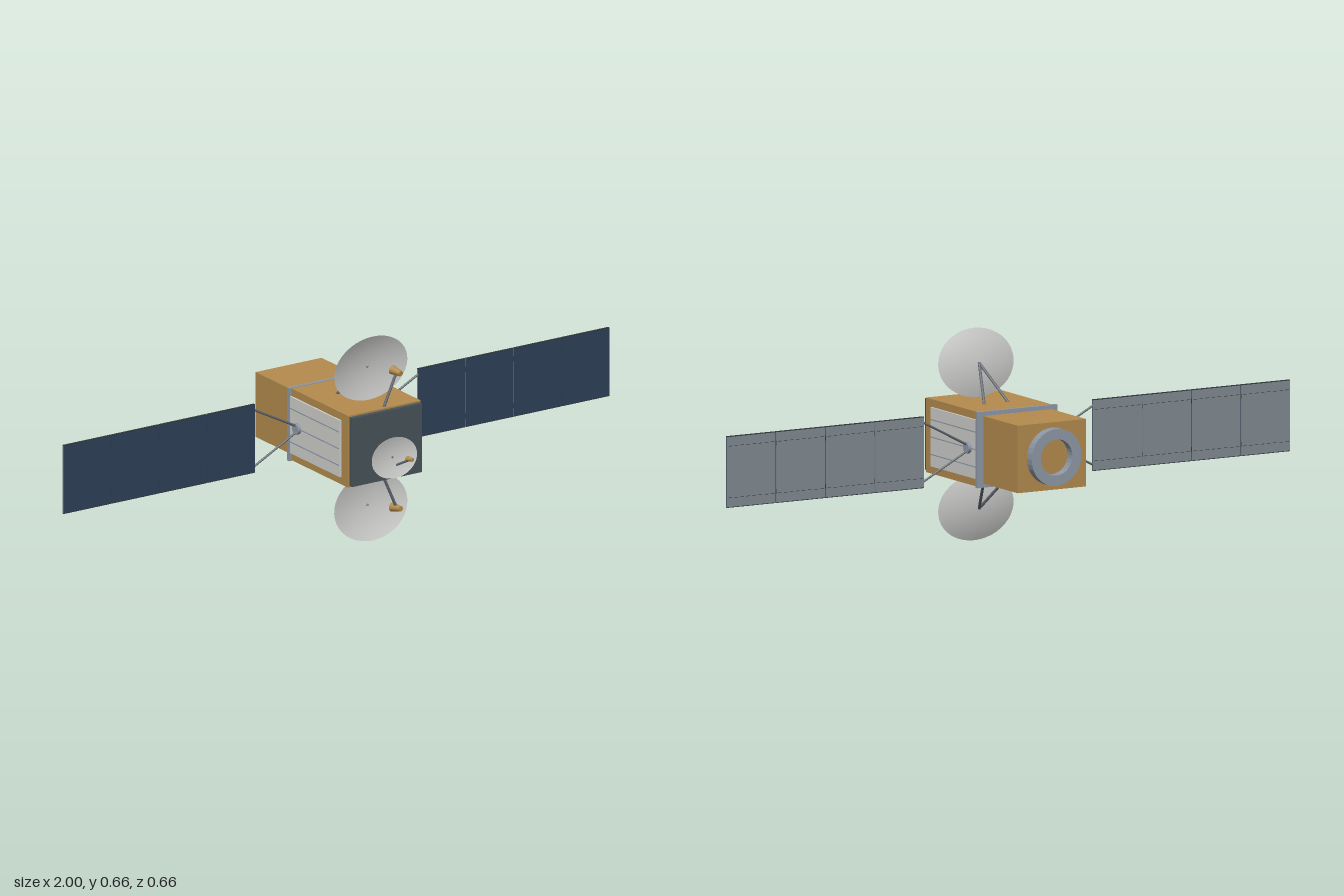
import * as THREE from 'three';

const mat = (name, color, side = THREE.FrontSide) => {
  const m = new THREE.MeshStandardMaterial({ color, side });
  m.name = name;
  return m;
};

export function createModel() {
  const root = new THREE.Group();
  root.name = 'satellite';

  const gold = mat('gold foil', 0xb48b4e);
  const slate = mat('slate', 0x46535a);
  const white = mat('radiator white', 0xcfcfcc);
  const dishGrey = mat('dish grey', 0xcccccb, THREE.DoubleSide);
  const metal = mat('metal', 0x8e98a6);
  const strutGrey = mat('strut grey', 0x626970);
  const navy = mat('solar navy', 0x2e4058);
  const backGrey = mat('panel back grey', 0x808a92);
  const dark = mat('dark trim', 0x30383e);

  const MID = 0.3315; // height of the body axis
  const add = (name, geo, material, x = 0, y = 0, z = 0, parent = root) => {
    const m = new THREE.Mesh(geo, material);
    m.name = name;
    m.position.set(x, y, z);
    parent.add(m);
    return m;
  };
  const box = (name, w, h, d, material, x, y, z, parent) =>
    add(name, new THREE.BoxGeometry(w, h, d), material, x, y, z, parent);

  // Round bar or cone between two points
  const rod = (name, a, b, r0, r1, material, parent = root, sides = 10) => {
    const A = new THREE.Vector3(...a), B = new THREE.Vector3(...b);
    const dir = B.clone().sub(A);
    const m = add(name, new THREE.CylinderGeometry(r1, r0, dir.length(), sides), material, 0, 0, 0, parent);
    m.position.copy(A).add(B).multiplyScalar(0.5);
    m.quaternion.setFromUnitVectors(new THREE.Vector3(0, 1, 0), dir.normalize());
    return m;
  };

  // Shallow elliptical reflector opening towards +z, with its vertex at the given point
  const reflector = (name, halfW, halfH, depth, tilt, y, z, parent) => {
    const profile = [];
    for (let i = 0; i <= 8; i++) profile.push(new THREE.Vector2(i / 8, depth * (i / 8) ** 2));
    const geo = new THREE.LatheGeometry(profile, 40);
    geo.scale(halfW, 1, halfH);
    geo.rotateX(Math.PI / 2 + tilt);
    geo.computeVertexNormals();
    return add(name, geo, dishGrey, 0, y, z, parent);
  };

  // Body
  box('mainBody', 0.266, 0.231, 0.32, gold, 0, MID, 0.065);
  box('rearBody', 0.242, 0.209, 0.21, gold, 0, MID, -0.197);
  box('collar', 0.284, 0.235, 0.012, metal, 0, MID, -0.091);
  box('frontPlate', 0.256, 0.221, 0.015, slate, 0, MID, 0.2325);

  // Engine ring on the back
  const ringProfile = [[0.056, 0], [0.0885, 0], [0.0885, 0.029], [0.056, 0.029], [0.056, 0]]
    .map(([r, h]) => new THREE.Vector2(r, h));
  const ring = new THREE.LatheGeometry(ringProfile, 32).toNonIndexed();
  ring.computeVertexNormals();
  ring.rotateX(-Math.PI / 2);
  add('adapterRing', ring, metal, 0, MID, -0.302);

  for (const s of [1, -1]) {
    const side = s > 0 ? 'left' : 'right';

    // Side radiator with three pipes
    box(side + 'Radiator', 0.006, 0.183, 0.275, white, s * 0.136, MID, 0.0505);
    for (const dy of [-0.054, 0, 0.054])
      box(side + 'RadiatorPipe', 0.003, 0.003, 0.269, metal, s * 0.1395, MID + dy, 0.0505);

    // Solar wing: hub, yoke and four panels
    const wing = new THREE.Group();
    wing.name = side + 'SolarWing';
    wing.position.set(0, MID, -0.041);
    root.add(wing);
    rod('hub', [s * 0.133, 0, 0], [s * 0.15, 0, 0], 0.0175, 0.0175, metal, wing);
    for (const v of [1, -1])
      rod('yokeStrut', [s * 0.146, v * 0.01, 0], [s * 0.302, v * 0.092, 0], 0.0035, 0.0035, strutGrey, wing, 8);
    for (let i = 0; i < 4; i++) {
      const x = s * (0.3865 + i * 0.1757);
      box('panelBack', 0.173, 0.22, 0.004, backGrey, x, 0, -0.0015, wing);
      box('panelCells', 0.173, 0.22, 0.003, navy, x, 0, 0.002, wing);
      for (const v of [1, -1]) {
        for (let k = 0; k < 8; k++) // dashed wiring on the back
          box('wiringDash', 0.012, 0.0015, 0.001, dark, x + (k - 3.5) * 0.0215, v * 0.08, -0.0037, wing);
        box('panelEdge', 0.173, 0.002, 0.0075, dark, x, v * 0.1095, 0, wing);
        if (i < 3) box('hinge', 0.004, 0.016, 0.005, dark, x + s * 0.0878, v * 0.075, 0, wing);
      }
    }

    // Large reflectors above and below, with struts and feed horn
    const antenna = new THREE.Group();
    antenna.name = s > 0 ? 'upperAntenna' : 'lowerAntenna';
    antenna.position.y = MID;
    root.add(antenna);
    reflector('reflector', 0.134, 0.106, 0.0185, s * 0.109, s * 0.2255, 0.132, antenna);
    for (const v of [1, -1])
      rod('reflectorStrut', [v * 0.043, s * 0.113, 0.028], [0, s * 0.2255, 0.131], 0.0045, 0.0045, strutGrey, antenna);
    rod('feedPost', [0.005, s * 0.11, 0.212], [0.053, s * 0.218, 0.212], 0.0045, 0.0045, strutGrey, antenna);
    rod('feedHorn', [0.056, s * 0.218, 0.232], [0.05, s * 0.2215, 0.194], 0.0085, 0.0145, gold, antenna, 16);
  }

  // Small reflector on the front plate
  const front = new THREE.Group();
  front.name = 'frontAntenna';
  root.add(front);
  reflector('smallReflector', 0.083, 0.0645, 0.0105, -0.085, 0.302, 0.27, front);
  for (const v of [1, -1])
    rod('smallStrut', [v * 0.02, 0.294, 0.236], [0, 0.302, 0.27], 0.0035, 0.0035, strutGrey, front, 8);
  rod('smallFeedArm', [0, 0.256, 0.238], [0.03, 0.299, 0.314], 0.0038, 0.0038, strutGrey, front, 8);
  rod('smallFeedHorn', [0.034, 0.304, 0.331], [0.029, 0.3025, 0.307], 0.0058, 0.0085, gold, front, 16);

  return root;
}
